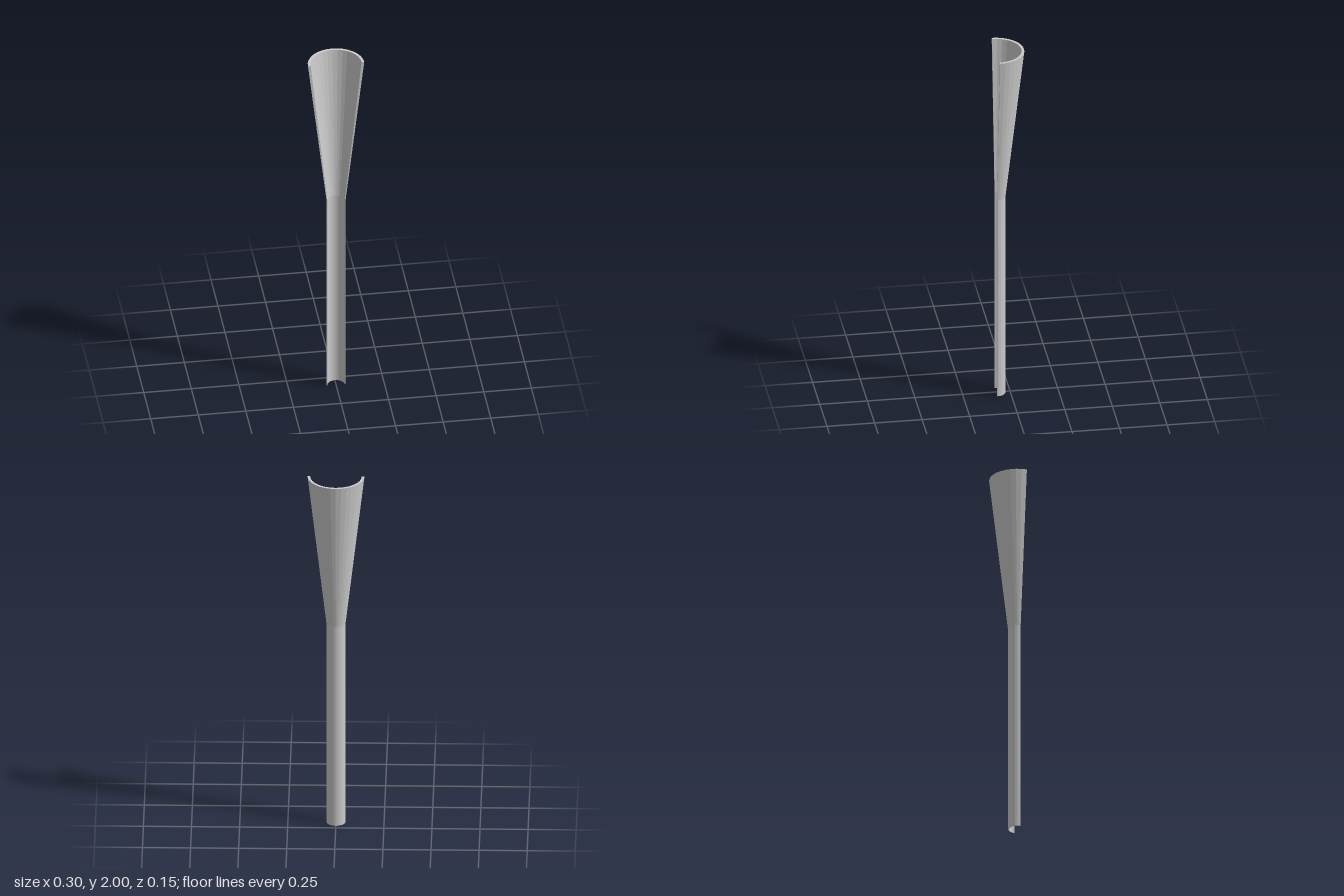
import * as THREE from 'three';

export function createModel() {
  const group = new THREE.Group();
  group.name = 'halfFunnel';
  const material = new THREE.MeshStandardMaterial({ color: 0xcccccc, flatShading: true });

  // Closed wall section [radius, height]: up the outside, down the inside
  const wall = [
    [0.05, 0], [0.05, 1.15], [0.148, 2],
    [0.134, 2], [0.0455, 1.15], [0.0455, 0], [0.05, 0],
  ].map(([r, y]) => new THREE.Vector2(r, y));

  // Half-round shell: straight stem below, flared mouth above
  const shell = new THREE.Mesh(new THREE.LatheGeometry(wall, 16, Math.PI / 2, Math.PI), material);
  shell.name = 'shell';
  group.add(shell);

  // Flat cut faces along both open edges
  for (const [name, side] of [['leftCutFace', 1], ['rightCutFace', -1]]) {
    const section = wall.slice(0, -1).map((p) => new THREE.Vector2(side * p.x, p.y));
    const face = new THREE.Mesh(new THREE.ShapeGeometry(new THREE.Shape(section)), material);
    face.name = name;
    group.add(face);
  }

  // Centre the half circle in depth
  for (const part of group.children) part.position.z = 0.074;
  return group;
}
